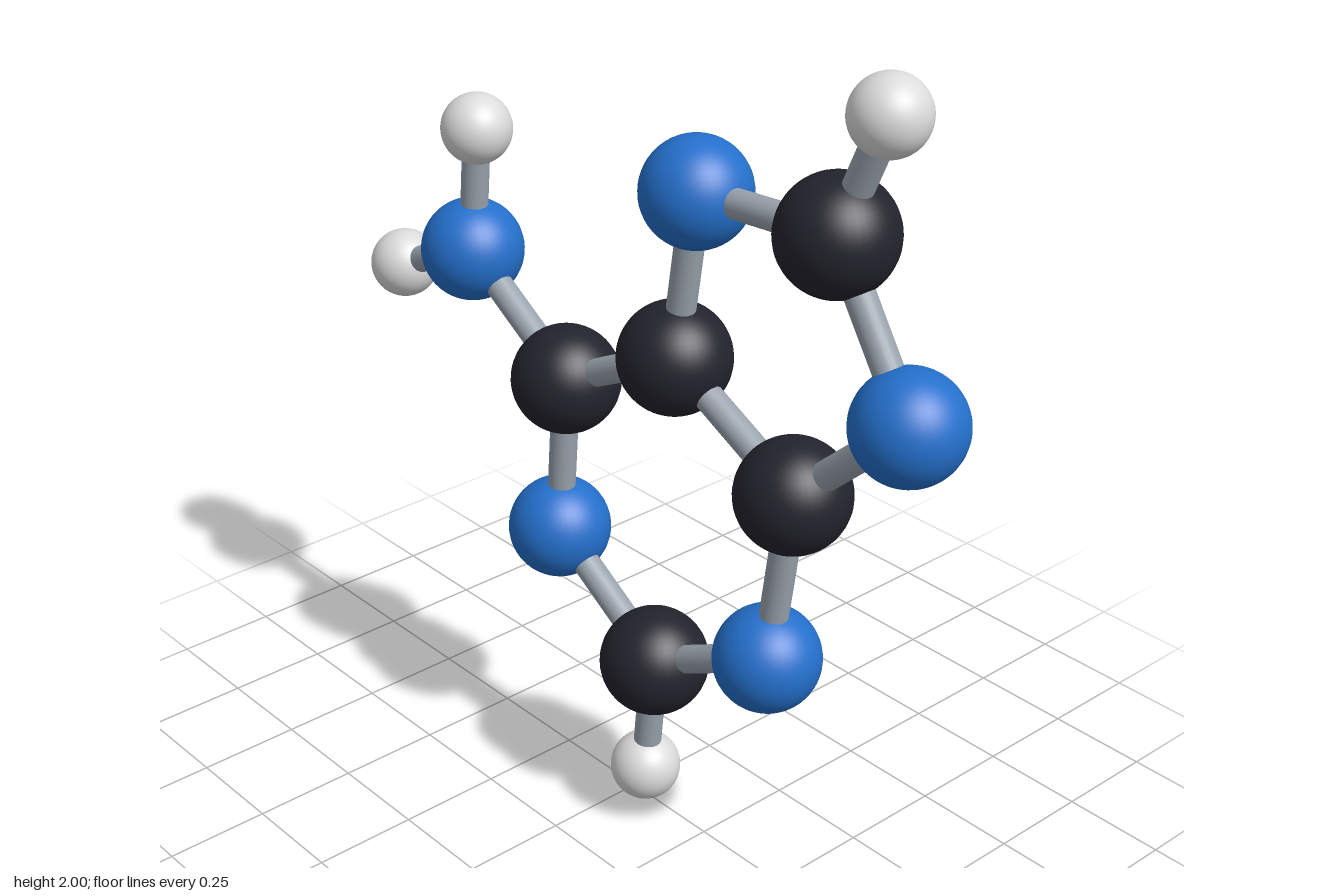
import * as THREE from 'three';

const material = (name, color) => new THREE.MeshStandardMaterial({ name, color });

export function createModel() {
  const model = new THREE.Group();
  model.name = 'molecule';

  // Element types: sphere radius and colour
  const elements = {
    carbon: { radius: 0.129, material: material('carbon black', 0x23232d) },
    nitrogen: { radius: 0.123, material: material('nitrogen blue', 0x2470cc) },
    hydrogen: { radius: 0.084, material: material('hydrogen white', 0xdcdcdc) },
  };
  for (const e of Object.values(elements)) e.geometry = new THREE.SphereGeometry(e.radius, 40, 28);
  const bondMaterial = material('bond grey', 0x9aa4ae);

  // Flat molecule: element, x, y
  const atoms = [
    ['carbon', -0.24, 1.019],     // 0 six-ring, carries the amino group
    ['carbon', 0.132, 1.206],     // 1 shared by both rings
    ['carbon', 0.505, 1.019],     // 2 shared by both rings
    ['nitrogen', 0.443, 0.585],   // 3
    ['carbon', 0.071, 0.398],     // 4 six-ring bottom
    ['nitrogen', -0.272, 0.615],  // 5
    ['nitrogen', 0.194, 1.609],   // 6 five-ring
    ['carbon', 0.6, 1.638],       // 7 five-ring top
    ['nitrogen', 0.815, 1.299],   // 8
    ['nitrogen', -0.582, 1.237],  // 9 amino
    ['hydrogen', -0.552, 1.546],  // 10
    ['hydrogen', -0.862, 1.112],  // 11
    ['hydrogen', 0.04, 0.086],    // 12
    ['hydrogen', 0.722, 1.917],   // 13
  ];
  const bonds = [
    [0, 1], [1, 2], [2, 3], [3, 4], [4, 5], [5, 0],
    [1, 6], [6, 7], [7, 8], [8, 2],
    [0, 9], [9, 10], [9, 11], [4, 12], [7, 13],
  ];

  const points = atoms.map(([, x, y]) => new THREE.Vector3(x, y, 0));

  // Atoms
  atoms.forEach(([type], i) => {
    const atom = new THREE.Mesh(elements[type].geometry, elements[type].material);
    atom.name = `${type}Atom`;
    atom.position.copy(points[i]);
    model.add(atom);
  });

  // Bonds run from centre to centre
  const up = new THREE.Vector3(0, 1, 0);
  for (const [a, b] of bonds) {
    const along = points[b].clone().sub(points[a]);
    const bond = new THREE.Mesh(
      new THREE.CylinderGeometry(0.033, 0.033, along.length(), 24), bondMaterial);
    bond.name = 'bond';
    bond.position.copy(points[a]).addScaledVector(along, 0.5);
    bond.quaternion.setFromUnitVectors(up, along.normalize());
    model.add(bond);
  }
  return model;
}
